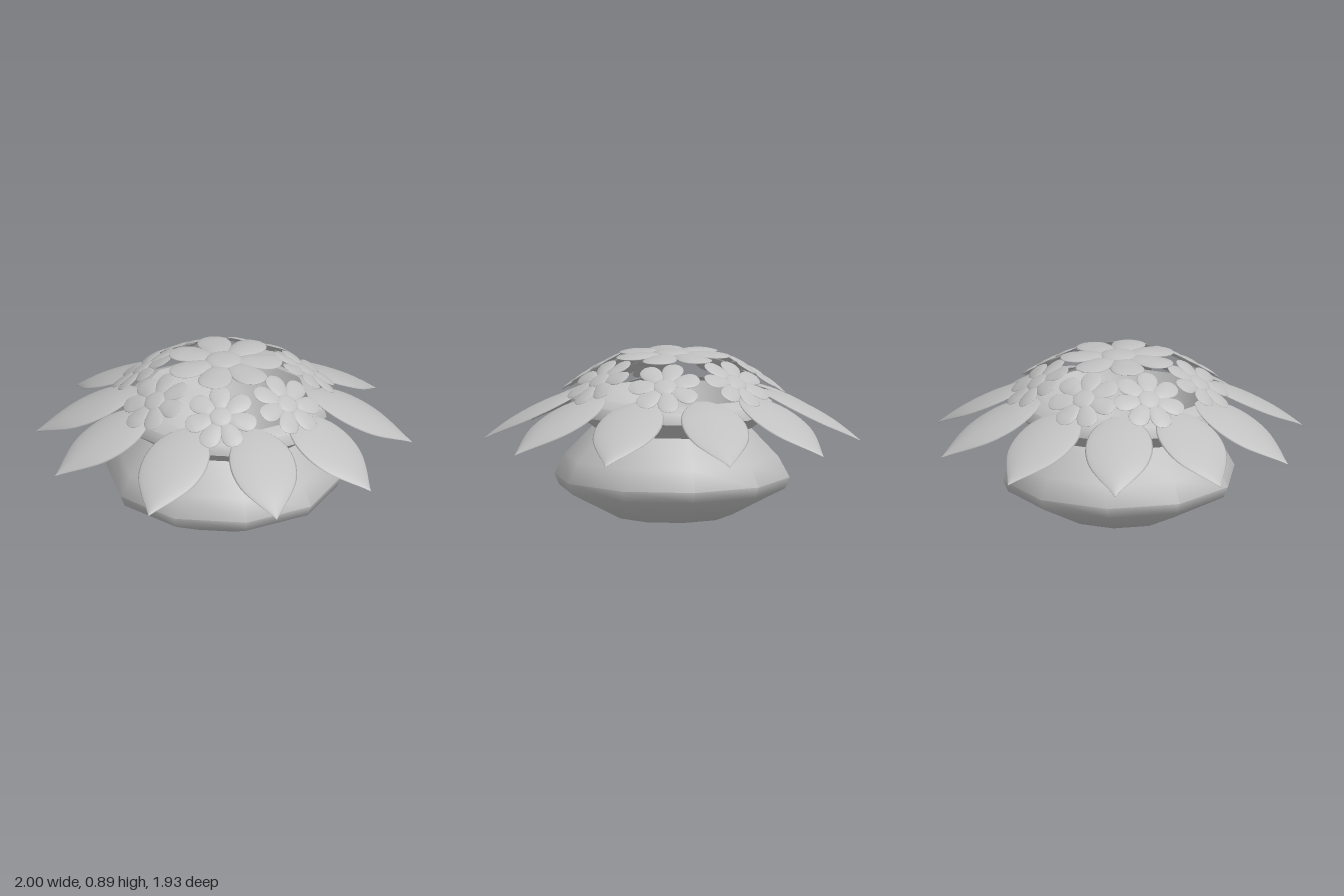
import * as THREE from 'three';
import { toCreasedNormals } from 'three/addons/utils/BufferGeometryUtils.js';

const clay = new THREE.MeshStandardMaterial({ color: 0xc0c0c0 });
clay.name = 'grey clay';

function part(name, geometry) {
  const mesh = new THREE.Mesh(geometry, clay);
  mesh.name = name;
  return mesh;
}

// Closed, thin petal growing along +x. Outline holds [u, half width] pairs;
// drop(u) is the height of the midrib, arch lowers the sides, bend shifts the tip.
function petalGeometry({ start, end, outline, drop, arch, bend, thick }) {
  const rows = 18, ring = 20;
  const curve = new THREE.SplineCurve(outline.map(([u, w]) => new THREE.Vector2(u, w)));
  const pos = [], index = [];
  for (let i = 0; i <= rows; i++) {
    const p = curve.getPoint(i / rows);
    const u = p.x, w = Math.max(p.y, 0.0005);
    const t = thick * Math.min(1, 0.25 + 4 * u * (1 - u));
    for (let j = 0; j < ring; j++) {
      const a = (j / ring) * Math.PI * 2;
      const v = Math.cos(a);
      pos.push(
        start + (end - start) * u,
        drop(u) - arch * v * v * Math.sin(Math.PI * u) + t * Math.sin(a),
        w * v + bend * u * u
      );
    }
  }
  for (let i = 0; i < rows; i++) {
    for (let j = 0; j < ring; j++) {
      const k = (j + 1) % ring;
      const a = i * ring + j, b = i * ring + k;
      index.push(a, a + ring, b, b, a + ring, b + ring);
    }
  }
  const g = new THREE.BufferGeometry();
  g.setAttribute('position', new THREE.Float32BufferAttribute(pos, 3));
  g.setIndex(index);
  g.computeVertexNormals();
  return g;
}

// Unit flower: seven rounded petals around a flattened button
const flowerPetal = petalGeometry({
  start: 0.24, end: 1,
  outline: [[0, 0.1], [0.15, 0.18], [0.4, 0.265], [0.65, 0.29], [0.85, 0.235], [0.96, 0.13], [1, 0]],
  drop: u => 0.01 + 0.03 * u - 0.08 * u * u, arch: 0.03, bend: 0, thick: 0.03
});
const button = new THREE.SphereGeometry(1, 20, 10).scale(0.32, 0.075, 0.32);

function makeFlower(name, radius, turn) {
  const flower = new THREE.Group();
  flower.name = name;
  for (let i = 0; i < 7; i++) {
    const petal = part('flowerPetal', flowerPetal);
    petal.rotation.y = turn + (i / 7) * Math.PI * 2;
    flower.add(petal);
  }
  flower.add(part('flowerButton', button));
  flower.scale.setScalar(radius);
  return flower;
}

export function createModel() {
  const model = new THREE.Group();
  model.name = 'flowerPot';
  const plant = new THREE.Group();
  plant.name = 'pottedFlowers';
  plant.position.z = 0.017;
  model.add(plant);
  const rad = THREE.MathUtils.degToRad;

  // Ten-sided open pot with a narrow neck, flared collar and hollow bowl
  const profile = [
    [0, 0], [0.315, 0], [0.605, 0.15], [0.63, 0.21], [0.57, 0.32], [0.425, 0.47],
    [0.55, 0.56], [0.535, 0.62], [0.46, 0.65], [0.39, 0.5],
    [0.27, 0.3], [0.12, 0.2], [0, 0.18]
  ].map(([r, y]) => new THREE.Vector2(r, y));
  const pot = part('pot', toCreasedNormals(new THREE.LatheGeometry(profile, 10), rad(57)));
  pot.rotation.y = rad(18);
  plant.add(pot);

  // Large pointed leaves drooping over the rim
  const leafGeometry = petalGeometry({
    start: 0.46, end: 1,
    outline: [[0, 0.04], [0.1, 0.11], [0.26, 0.165], [0.45, 0.18], [0.64, 0.155], [0.8, 0.095], [0.92, 0.037], [1, 0]],
    drop: u => 0.67 - 0.13 * u - 0.14 * u * u, arch: 0.025, bend: 0.03, thick: 0.012
  });
  for (const angle of [-4, 31, 71, 111, 142, 176, 211, 245.5, 281, 320]) {
    const leaf = part('leaf', leafGeometry);
    leaf.rotation.y = -rad(angle - 1.7);
    plant.add(leaf);
  }

  // Ring of seven small flowers facing outward
  [-1.5, 49.5, 102, 154, 199.5, 250, 304].forEach((angle, i) => {
    const arm = new THREE.Group();
    arm.name = 'smallFlowerMount';
    arm.rotation.y = -rad(angle);
    const flower = makeFlower('smallFlower', 0.195, 0.2 + i * 0.3);
    flower.position.set(0.45, 0.753, 0);
    flower.rotation.z = -rad(33);
    arm.add(flower);
    plant.add(arm);
  });

  // Large flower on top
  const crown = makeFlower('topFlower', 0.312, Math.PI / 2 + 0.08);
  crown.position.y = 0.864;
  plant.add(crown);

  return model;
}
